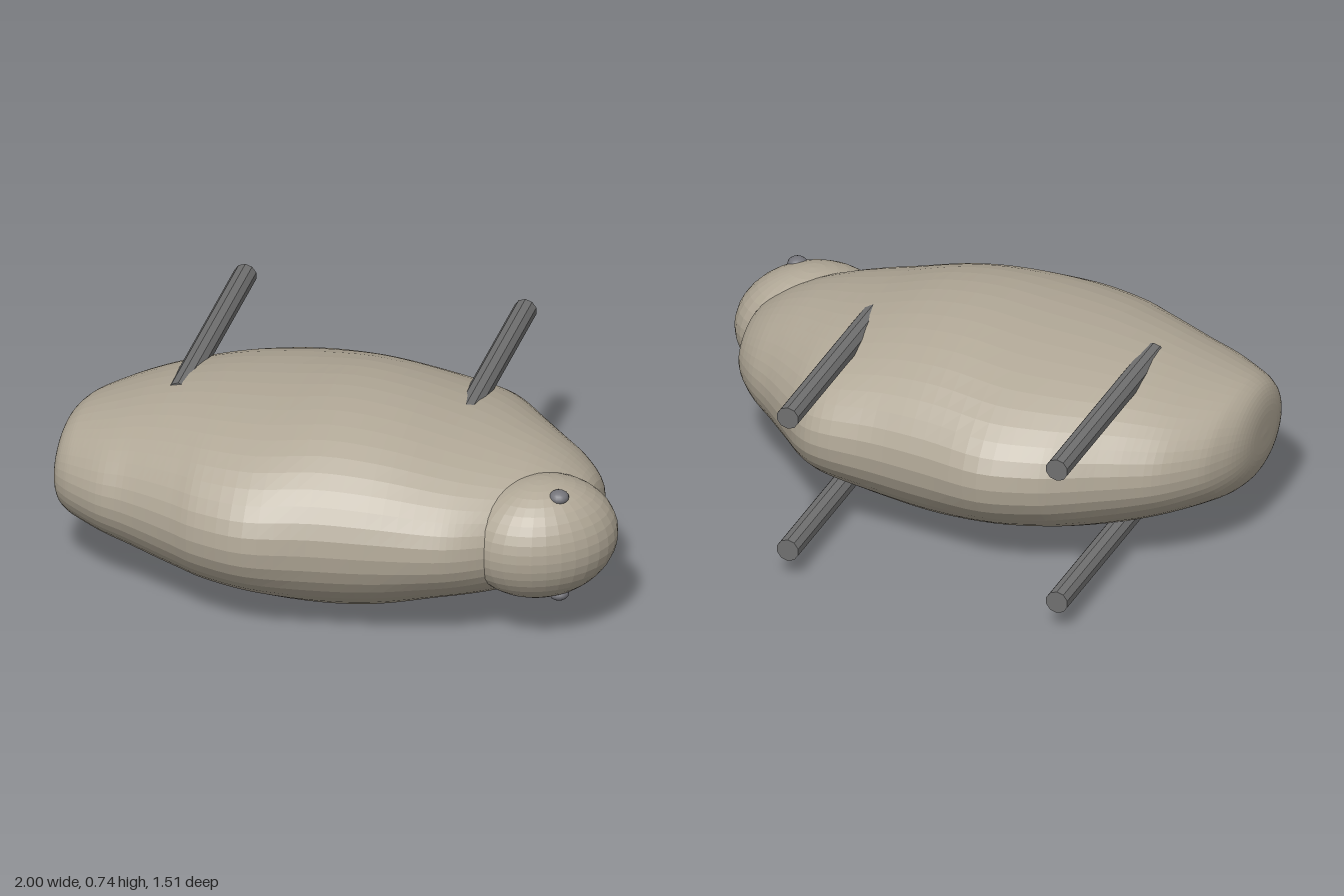
import * as THREE from 'three';

const MID_Y = 0.372; // the animal lies on its side, mirrored about this height

// Lumpy woolly body: cross-sections along x
function bodyGeometry() {
  // x, half height, z towards the belly, z towards the back
  const sections = [
    [-1.0, 0.0, 0.18, 0.2], [-0.996, 0.09, 0.06, 0.33], [-0.978, 0.148, -0.03, 0.395],
    [-0.945, 0.182, -0.11, 0.435], [-0.9, 0.203, -0.185, 0.47], [-0.8, 0.237, -0.29, 0.53],
    [-0.7, 0.27, -0.355, 0.565], [-0.6, 0.296, -0.41, 0.61], [-0.5, 0.315, -0.465, 0.66],
    [-0.4, 0.328, -0.51, 0.71], [-0.22, 0.345, -0.55, 0.75], [0, 0.37, -0.515, 0.715],
    [0.2, 0.353, -0.485, 0.69], [0.4, 0.303, -0.468, 0.655], [0.5, 0.28, -0.42, 0.625],
    [0.6, 0.257, -0.315, 0.57], [0.7, 0.228, -0.21, 0.5], [0.8, 0.18, -0.115, 0.42],
    [0.88, 0.11, 0.0, 0.31], [0.905, 0.0, 0.13, 0.17],
  ];
  const curve = (pick) => new THREE.CatmullRomCurve3(
    sections.map((s) => new THREE.Vector3(...pick(s))), false, 'catmullrom', 0.5);
  const heights = curve((s) => [s[0], s[1], 0]);
  const depths = curve((s) => [s[0], s[2], s[3]]);
  const rings = 76, sides = 44;
  const positions = [], index = [];
  for (let i = 0; i <= rings; i++) {
    const h = heights.getPoint(i / rings);
    const d = depths.getPoint(i / rings);
    const half = (d.z - d.y) / 2;
    for (let j = 0; j < sides; j++) {
      const a = (j / sides) * Math.PI * 2;
      const c = Math.cos(a), s = Math.sin(a);
      // plump section, highest a little towards the back, with a slight ridge at either edge
      const y = Math.sign(c) * Math.abs(c) ** 0.93;
      const z = s * (0.96 + 0.04 * s ** 8) + 0.05 * c * c;
      positions.push(h.x, MID_Y + Math.max(h.y, 0) * y, (d.y + d.z) / 2 + half * z);
      if (i < rings) {
        const k = (j + 1) % sides;
        const p = i * sides + j, q = i * sides + k;
        index.push(p, q, p + sides, q, q + sides, p + sides);
      }
    }
  }
  const geometry = new THREE.BufferGeometry();
  geometry.setAttribute('position', new THREE.Float32BufferAttribute(positions, 3));
  geometry.setIndex(index);
  geometry.computeVertexNormals();
  return geometry;
}

export function createModel() {
  const model = new THREE.Group();
  model.name = 'sheep';
  const wool = new THREE.MeshStandardMaterial({ name: 'wool', color: 0xb0a796, flatShading: true });
  const legGrey = new THREE.MeshStandardMaterial({ name: 'legGrey', color: 0x707070, flatShading: true });
  const eyeGrey = new THREE.MeshStandardMaterial({ name: 'eyeGrey', color: 0x74747a });

  const add = (name, geometry, material, x, y, z) => {
    const mesh = new THREE.Mesh(geometry, material);
    mesh.name = name;
    mesh.position.set(x, y, z);
    model.add(mesh);
    return mesh;
  };

  add('body', bodyGeometry(), wool, 0, 0, 0);

  // Egg-shaped head, turned towards the legs
  const head = add('head', new THREE.SphereGeometry(1, 32, 20), wool, 0.742, MID_Y, 0.35);
  head.scale.set(0.275, 0.215, 0.22);
  head.rotation.y = 0.6;

  // Legs stick out along -z, eyes sit on either cheek
  const legGeometry = new THREE.CylinderGeometry(0.041, 0.041, 0.9, 10).rotateX(Math.PI / 2);
  const eyeGeometry = new THREE.SphereGeometry(0.035, 16, 10);
  for (const [side, s] of [['Upper', 1], ['Lower', -1]]) {
    add('hind' + side + 'Leg', legGeometry, legGrey, -0.605, MID_Y + s * 0.26, -0.308);
    add('front' + side + 'Leg', legGeometry, legGrey, 0.394, MID_Y + s * 0.26, -0.308);
    const eye = add('eye' + side, eyeGeometry, eyeGrey, 0.823, MID_Y + s * 0.187, 0.405);
    eye.scale.y = 0.7;
  }
  return model;
}
